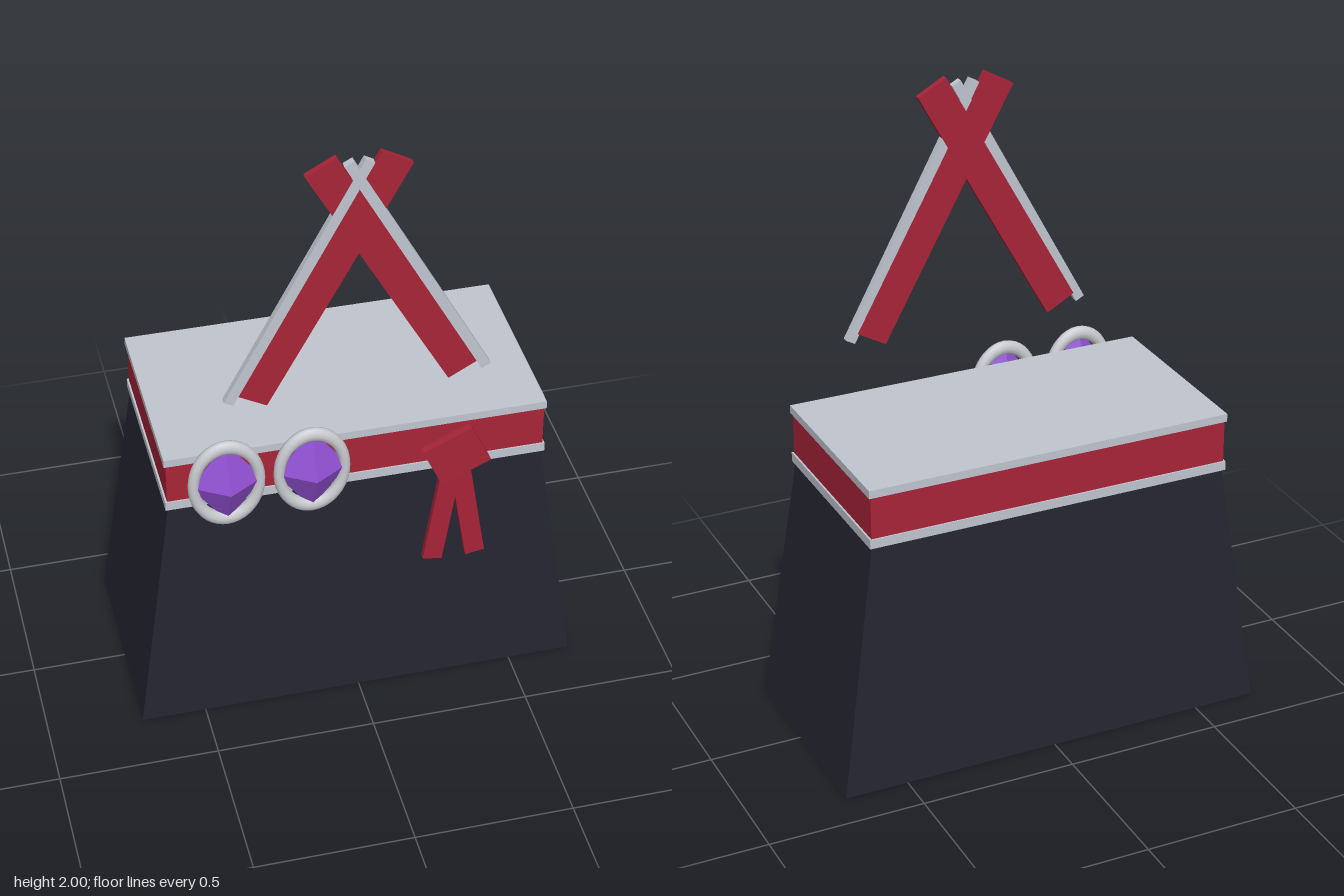
import * as THREE from 'three';

const material = (name, color) => {
  const m = new THREE.MeshStandardMaterial({ color });
  m.name = name;
  return m;
};

export function createModel() {
  const dark = material('dark cloth', 0x252531);
  const red = material('red cloth', 0xa82438);
  const silver = material('silver trim', 0xc0c5cf);
  const ringMetal = material('ring metal', 0xc8cacf);
  const purple = material('purple gem', 0x8f4fcf);

  const model = new THREE.Group();
  model.name = 'outfit';

  const add = (name, geometry, mat, x, y, z, angle = 0, parent = model) => {
    const mesh = new THREE.Mesh(geometry, mat);
    mesh.name = name;
    mesh.position.set(x, y, z);
    mesh.rotation.z = THREE.MathUtils.degToRad(angle);
    parent.add(mesh);
    return mesh;
  };
  const box = (w, h, d) => new THREE.BoxGeometry(w, h, d);
  const midZ = -0.033;

  // Skirt: a box narrowed towards the waist
  const skirtGeo = box(1.406, 0.83, 0.685);
  const p = skirtGeo.attributes.position;
  for (let i = 0; i < p.count; i++) {
    if (p.getY(i) > 0) {
      p.setX(i, Math.sign(p.getX(i)) * 0.583);
      p.setZ(i, Math.sign(p.getZ(i)) * 0.304);
    }
  }
  skirtGeo.computeVertexNormals();
  add('skirt', skirtGeo, dark, 0, 0.415, midZ);

  // Waist sash with a silver edge above and below
  add('sash', box(1.174, 0.16, 0.616), red, 0, 0.915, midZ);
  add('sashLowerTrim', box(1.186, 0.03, 0.626), silver, 0, 0.835, midZ);
  add('sashUpperTrim', box(1.186, 0.026, 0.626), silver, 0, 0.999, midZ);

  // Crossed collar bands, each edged with a thin silver strip
  for (const side of [-1, 1]) {
    const label = side < 0 ? 'right' : 'left';
    add(label + 'CollarBand', box(0.105, 0.895, 0.021), red,
      side * 0.106, 1.581, 0.2725 + side * 0.0005, side * 29);
    add(label + 'CollarTrim', box(0.032, 0.89, 0.022), silver,
      side * 0.181, 1.583, 0.275 + side * 0.0005, side * 28.4);
  }

  // Two oval brooches: faceted gem in a metal ring
  for (const x of [-0.41, -0.148]) {
    const brooch = new THREE.Group();
    brooch.name = 'brooch';
    brooch.position.set(x, 0.915, 0.307);
    model.add(brooch);
    const ring = add('broochRing', new THREE.TorusGeometry(0.101, 0.0175, 12, 40),
      ringMetal, 0, 0, 0, 0, brooch);
    ring.scale.y = 1.33;
    const gem = new THREE.OctahedronGeometry(1);
    gem.scale(0.112, 0.148, 0.068);
    gem.computeVertexNormals();
    add('broochGem', gem, purple, 0, 0, 0, 0, brooch);
  }

  // Tied knot with two hanging tails
  add('knot', box(0.168, 0.15, 0.026), red, 0.305, 0.877, 0.297, 25);
  add('rightTail', box(0.062, 0.37, 0.02), red, 0.264, 0.66, 0.296, -8.8);
  add('leftTail', box(0.062, 0.37, 0.02), red, 0.344, 0.66, 0.297, 9);

  return model;
}
